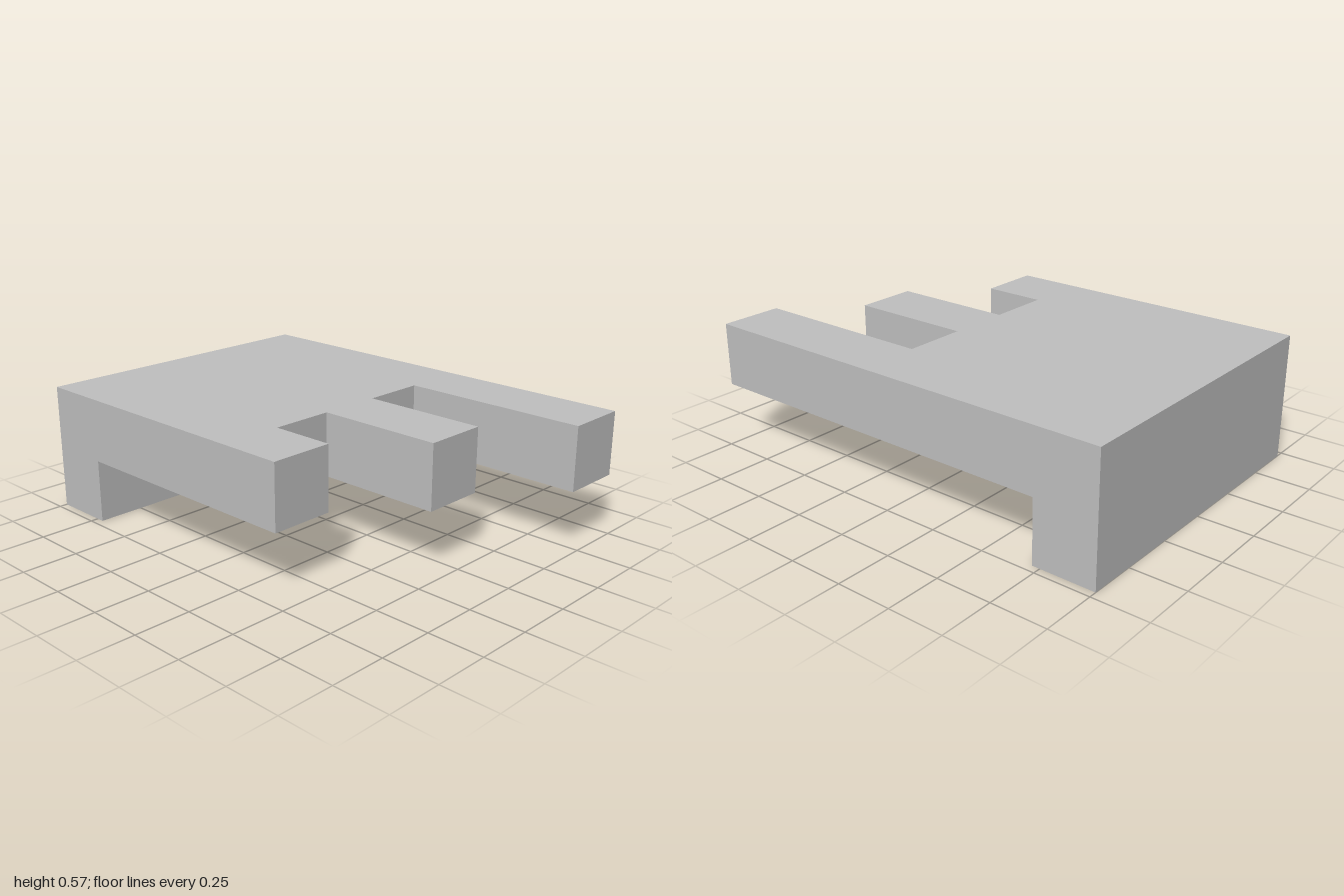
import * as THREE from 'three';

const U = 2 / 7; // the whole model sits on a grid of seven units along x

export function createModel() {
  const model = new THREE.Group();
  model.name = 'combBracket';

  const grey = new THREE.MeshStandardMaterial({ color: 0xc0c0c0 });
  grey.name = 'light grey';

  // Plan of the plate in grid units (x, towards the back): three stepped fingers
  const plan = [
    [0, 0], [5, 0], [5, 1], [4, 1], [4, 2], [6, 2],
    [6, 3], [4, 3], [4, 4], [7, 4], [7, 5], [0, 5],
  ];
  const outline = new THREE.Shape(
    plan.map(([x, back]) => new THREE.Vector2((x - 3.5) * U, (back - 2.5) * U))
  );
  const plateGeometry = new THREE.ExtrudeGeometry(outline, { depth: U, bevelEnabled: false });
  plateGeometry.rotateX(-Math.PI / 2);
  const plate = new THREE.Mesh(plateGeometry, grey);
  plate.name = 'fingeredPlate';
  plate.position.y = U;

  // Full-depth foot under the -x edge
  const foot = new THREE.Mesh(new THREE.BoxGeometry(U, U, 5 * U), grey);
  foot.name = 'foot';
  foot.position.set(-3 * U, U / 2, 0);

  model.add(plate, foot);
  return model;
}
